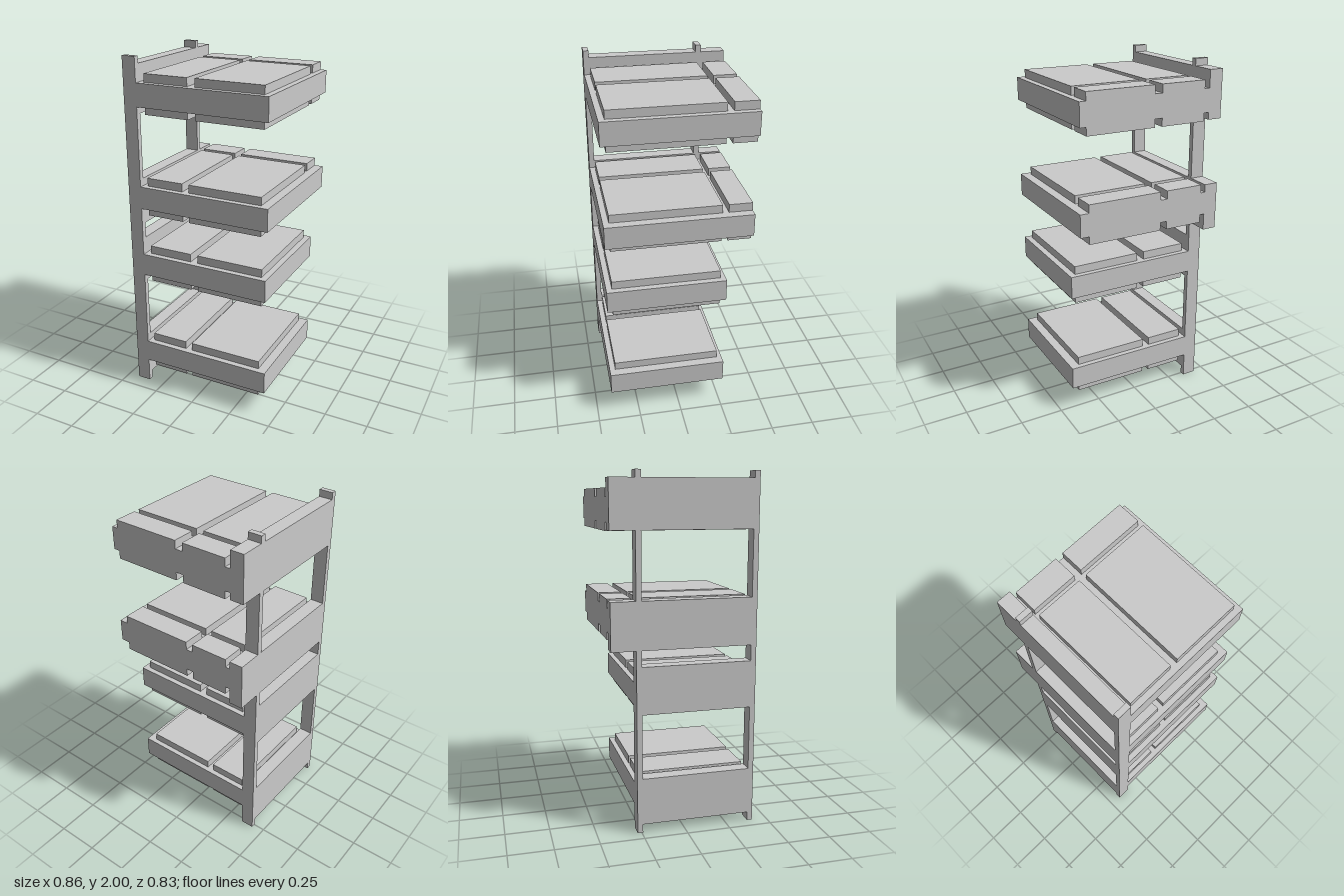
import * as THREE from 'three';

export function createModel() {
  const model = new THREE.Group();
  model.name = 'tieredPlatforms';
  const material = new THREE.MeshStandardMaterial({ color: 0xcccccc, flatShading: true });

  // Box given by its extents along each axis
  const addBox = (parent, name, [x0, x1], [y0, y1], [z0, z1]) => {
    const geometry = new THREE.BoxGeometry(x1 - x0, y1 - y0, z1 - z0);
    const mesh = new THREE.Mesh(geometry, material);
    mesh.position.set((x0 + x1) / 2, (y0 + y1) / 2, (z0 + z1) / 2);
    mesh.name = name;
    parent.add(mesh);
  };

  const FRONT = 0.413, BACK = -0.413, POST_BACK = -0.274;
  const wallX = [-0.43, -0.35];

  // Full-height posts
  addBox(model, 'frontPost', wallX, [0, 2], [0.382, FRONT]);
  addBox(model, 'rearPost', wallX, [0, 2], [POST_BACK, -0.243]);

  // Tiers: slab base height, slab end, panel spans, wall band, depth
  const wide = { end: 0.424, panels: [[-0.32, -0.055], [-0.01, 0.388]], band: [-0.04, 0.23] };
  const narrow = { end: 0.43, panels: [[-0.323, -0.1], [-0.059, 0.378]], band: [-0.095, 0.175] };
  const tiers = [
    { y: 0.145, type: narrow, deep: false },
    { y: 0.73, type: wide, deep: false },
    { y: 1.145, type: narrow, deep: true },
    { y: 1.73, type: wide, deep: true },
  ];

  tiers.forEach(({ y, type, deep }, i) => {
    const tier = new THREE.Group();
    tier.name = `tier${i + 1}`;
    model.add(tier);
    const back = deep ? BACK : POST_BACK;

    addBox(tier, 'slab', [-0.35, type.end], [y, y + 0.131], [back, FRONT]);

    // Wall band between the posts, and its extension behind the rear post
    const band = type.band.map((d) => y + d);
    addBox(tier, 'wallBand', wallX, band, [-0.243, 0.382]);
    if (deep) addBox(tier, 'wallExtension', wallX, band, [BACK, POST_BACK]);

    // Raised panels above and below the slab
    const spans = [[-0.244, 0.38]];
    if (deep) spans.push([BACK, -0.279]);
    for (const x of type.panels) {
      for (const z of spans) {
        addBox(tier, 'topPanel', x, [y + 0.131, y + 0.178], z);
        addBox(tier, 'bottomPanel', x, [y - 0.046, y], z);
      }
    }
  });

  return model;
}
